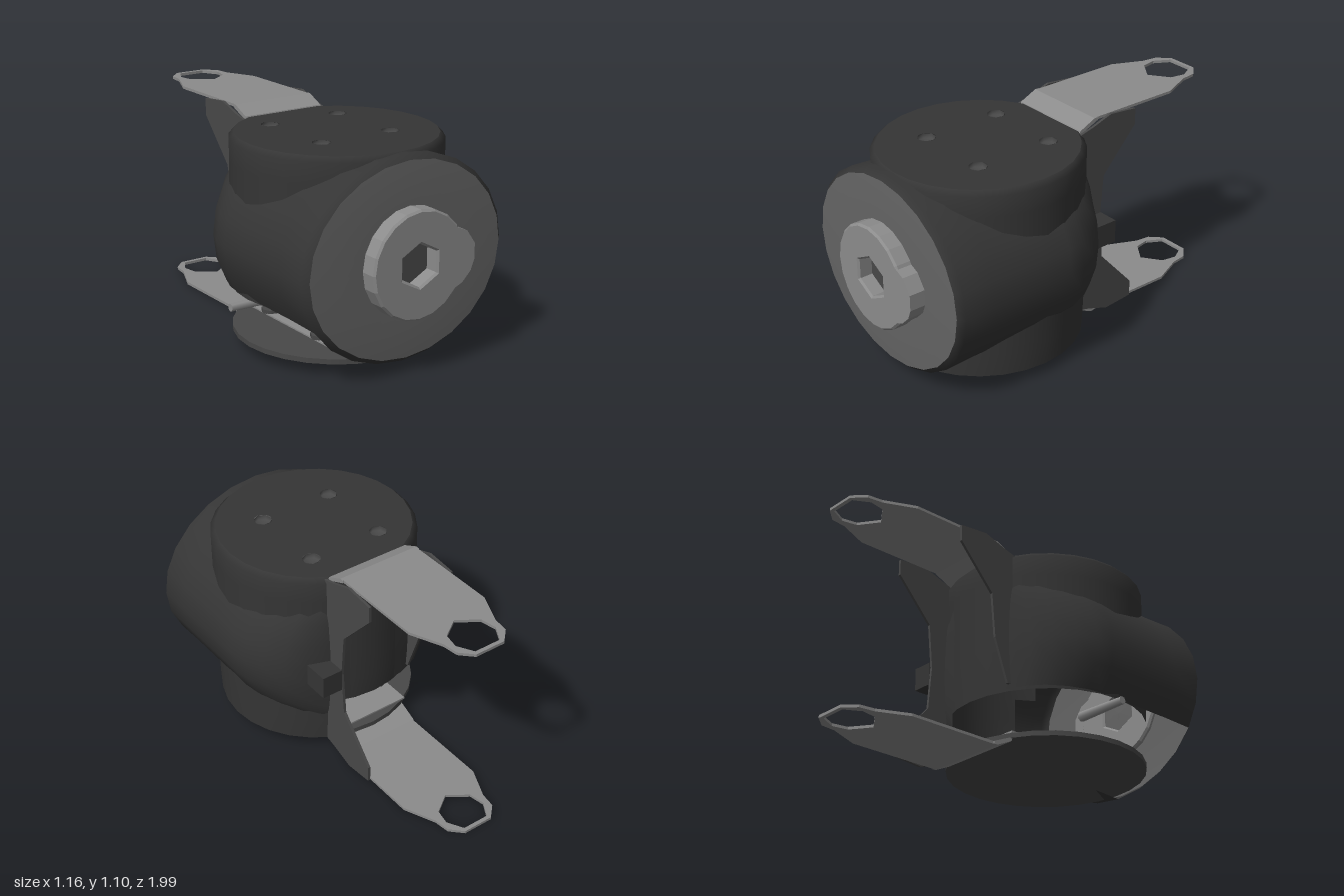
import * as THREE from 'three';

const paint = color => new THREE.MeshStandardMaterial({ color, side: THREE.DoubleSide });
const DARK = paint(0x353535), FACE = paint(0x646464), CHEEK = paint(0x484848);
const LIGHT = paint(0x8c8c8c), FLOOR = paint(0x484848);
const MID = 0.55;      // height of the horizontal axis
const CZ = 0.345;      // z of the vertical housing axis

function add(parent, name, mat, geo, x = 0, y = 0, z = 0) {
  const m = new THREE.Mesh(geo, mat);
  m.name = name;
  m.position.set(x, y, z);
  parent.add(m);
}

// Skin closed rings of points; skip(centre) leaves a quad open
function loft(rings, skip = () => false) {
  const n = rings[0].length, idx = [];
  for (let i = 0; i < rings.length - 1; i++) {
    for (let j = 0; j < n; j++) {
      const k = (j + 1) % n;
      const c = rings[i][j].clone().add(rings[i][k]).add(rings[i + 1][j]).add(rings[i + 1][k]).multiplyScalar(0.25);
      if (skip(c)) continue;
      const a = i * n + j, b = i * n + k;
      idx.push(a, b, b + n, a, b + n, a + n);
    }
  }
  const g = new THREE.BufferGeometry().setFromPoints(rings.flat());
  g.setIndex(idx);
  g.computeVertexNormals();
  return g;
}

const ring = (n, f) => Array.from({ length: n }, (_, i) => f((i / n) * Math.PI * 2));
const poly = pts => new THREE.Shape(pts.map(p => new THREE.Vector2(...p)));
const slab = (shape, depth) => new THREE.ExtrudeGeometry(shape, { depth, bevelEnabled: false, curveSegments: 16 });

// Arm with eyelet, and the ramp that joins it to the housing
function bracketArm() {
  const g = new THREE.Group();
  const right = [[0.22, 0.19], [0.22, 0.7], [0.15, 0.86], [0.14, 0.94], [0.08, 1]];
  const mirror = pts => pts.map(([x, y]) => [-x, y]).reverse();
  const arm = poly([...right, ...mirror(right)]);
  const eye = [[0.1, 0.82], [0.115, 0.9], [0.07, 0.98]];
  arm.holes.push(poly([[0, 0.75], ...eye, ...mirror(eye)]));
  add(g, 'mountingArm', LIGHT, slab(arm, 0.014).rotateX(-Math.PI / 2), 0, 1.083, 0);

  const ramp = poly([[0.09, 1.03], [0.1, 1.055], [0.19, 1.097], [0.21, 1.097], [0.21, 1.083]]);
  add(g, 'armRamp', LIGHT, slab(ramp, 0.45).rotateY(Math.PI / 2), -0.225, 0, 0);
  return g;
}

export function createModel() {
  const model = new THREE.Group();

  // Horizontal drum, rounded in plan at the back, open low down on one side
  const drumRing = ([z, w, h]) => ring(24, a =>
    new THREE.Vector3(Math.cos(a) * w, MID + Math.sin(a) * h, z));
  const body = [[-0.16, 0.03, 0.48], [-0.14, 0.22, 0.485], [-0.09, 0.36, 0.487], [-0.03, 0.45, 0.49],
    [0.06, 0.52, 0.49], [0.16, 0.565, 0.49], [0.25, 0.58, 0.49], [0.4, 0.58, 0.49], [0.55, 0.58, 0.49],
    [0.7, 0.58, 0.49], [0.87, 0.58, 0.5], [0.9, 0.55, 0.475]].map(drumRing);
  const drumOpen = c => c.y < 0.3 && (c.x < 0 ? c.z < 0.85 : c.x < 0.2 && c.z < 0.25);
  const inHousing = c => Math.hypot(c.x, c.z - CZ) < 0.4;
  add(model, 'drum', DARK, loft(body, c => drumOpen(c) || inHousing(c)));
  const face = [[0.9, 0.55, 0.475], [0.908, 0.4, 0.36], [0.908, 0.2, 0.2], [0.9, 0.001, 0.001]].map(drumRing);
  add(model, 'drumFace', FACE, loft(face));

  // Vertical housing wall, cut open below on the same side and where the drum fills it
  const wall = [[0.06, 0.505], [0.18, 0.51], [0.3, 0.512], [0.42, 0.515], [0.55, 0.515], [0.68, 0.515],
    [0.8, 0.515], [0.92, 0.515], [1.025, 0.515], [1.05, 0.49]].map(([y, r]) =>
    ring(28, a => new THREE.Vector3(Math.cos(a) * r, y, CZ - Math.sin(a) * r)));
  const wallOpen = c => c.y < 0.3 && (c.x < 0 || (c.x < 0.24 && c.z < 0.2));
  const inDrum = c => c.z > 0.3 && Math.hypot(c.x / 0.58, (c.y - MID) / 0.49) < 0.8;
  add(model, 'housingWall', DARK, loft(wall, c => wallOpen(c) || inDrum(c)));

  // Lid with four screw recesses, and a floor with matching bosses
  const lid = new THREE.Shape().absarc(0, 0, 0.49, 0, Math.PI * 2);
  const cup = [[0.001, -0.025], [0.045, -0.025], [0.045, 0]].map(p => new THREE.Vector2(...p));
  for (const x of [-0.2, 0.2]) {
    for (const z of [0.08, 0.5]) {
      lid.holes.push(new THREE.Path().absarc(x, CZ - z, 0.045, 0, Math.PI * 2, true));
      add(model, 'screwRecess', CHEEK, new THREE.LatheGeometry(cup, 7), x, 1.05, z);
      add(model, 'floorBoss', CHEEK, new THREE.CylinderGeometry(0.05, 0.05, 0.02, 8), x, 0.1, z);
    }
  }
  add(model, 'lid', DARK, new THREE.ShapeGeometry(lid, 14).rotateX(-Math.PI / 2), 0, 1.05, CZ);
  add(model, 'floor', FLOOR, new THREE.CylinderGeometry(0.505, 0.505, 0.025, 28), 0, 0.0725, CZ);

  // Bracket plate lying on the floor, and a short rod out of the open side
  add(model, 'floorPlate', LIGHT, new THREE.BoxGeometry(0.48, 0.01, 0.72), 0, 0.088, 0.25);
  add(model, 'sideRod', LIGHT, new THREE.CylinderGeometry(0.02, 0.026, 0.28, 7).rotateZ(Math.PI / 2), -0.44, 0.26, 0.3);

  // Front boss with a hexagonal socket and a side tab
  const boss = new THREE.Shape().absarc(0, 0, 0.255, 0, Math.PI * 2);
  boss.holes.push(new THREE.Path(ring(6, a =>
    new THREE.Vector2(-Math.sin(a) * 0.125, Math.cos(a) * 0.115))));
  add(model, 'frontBoss', LIGHT, new THREE.ExtrudeGeometry(boss, {
    depth: 0.085, curveSegments: 10, bevelSize: 0.01, bevelThickness: 0.01, bevelSegments: 1,
  }), 0, MID, 0.895);
  add(model, 'socketFloor', FLOOR, new THREE.CircleGeometry(0.15, 6), 0, MID, 0.915);
  const tab = poly([[0.2, -0.15], [0.25, -0.13], [0.3, -0.08], [0.32, -0.03], [0.32, 0.05], [0.27, 0.12], [0.2, 0.15]]);
  add(model, 'bossTab', LIGHT, slab(tab, 0.1), 0, MID, 0.89);

  // Small latch at the back
  add(model, 'rearLatch', DARK, new THREE.BoxGeometry(0.11, 0.12, 0.2), 0.3, 0.52, -0.125);

  // Bracket arms, mirrored above and below the axis
  const upper = bracketArm();
  upper.name = 'upperBracket';
  const lower = bracketArm();
  lower.name = 'lowerBracket';
  lower.scale.y = -1;
  lower.position.y = 2 * MID;
  model.add(upper, lower);

  // Cheeks: a full C on one side, only the upper gusset on the open side
  const gusset = [[0.08, 1.04], [0.16, 1.06], [0.28, 1.1], [0.44, 1.085], [0.44, 1.0], [0.24, 0.78], [0.22, MID]];
  const flipped = gusset.slice(0, -1).map(([u, y]) => [u, 2 * MID - y]).reverse();
  const cheek = pts => slab(poly(pts), 0.014).rotateY(Math.PI / 2);
  add(model, 'fullCheek', CHEEK, cheek([...gusset, ...flipped]), 0.23, 0, 0);
  add(model, 'upperCheek', CHEEK, cheek([...gusset, [0.14, 0.33], [0.08, 0.33]]), -0.244, 0, 0);

  return model;
}
